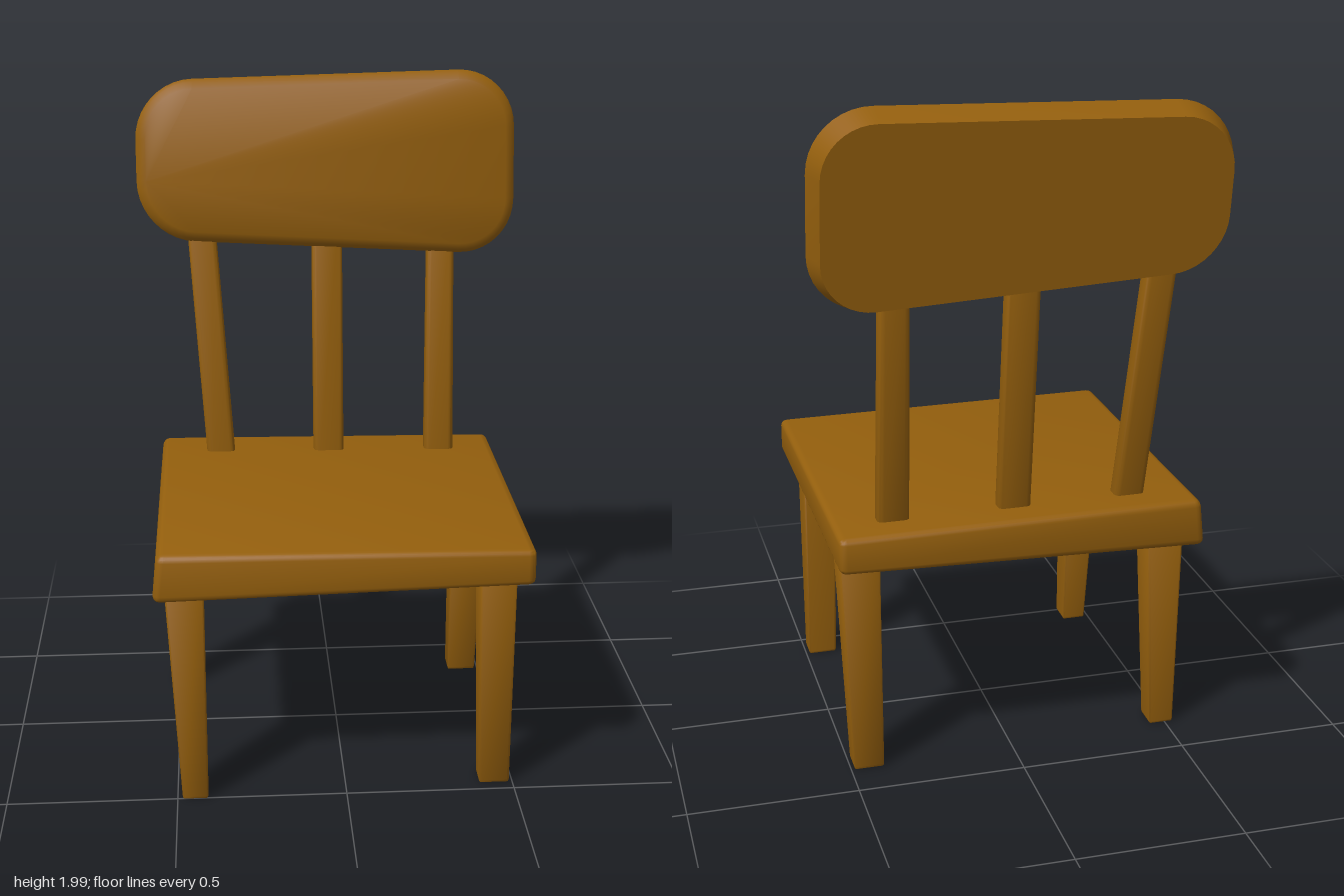
import * as THREE from 'three';
import { toCreasedNormals } from 'three/addons/utils/BufferGeometryUtils.js';
import { RoundedBoxGeometry } from 'three/addons/geometries/RoundedBoxGeometry.js';

const lerp = THREE.MathUtils.lerp;

// Soft-edged block between a low and a high rectangle [x0, x1, z0, z1];
// yLow and yHigh give the heights at the x0 and x1 sides.
function block(low, high, yLow, yHigh, bevel) {
  const w = high[1] - high[0], d = high[3] - high[2], h = yHigh[0] - yLow[0];
  const geo = new RoundedBoxGeometry(w, h, d, 2, bevel);
  const p = geo.attributes.position;
  for (let i = 0; i < p.count; i++) {
    const u = p.getX(i) / w + 0.5, v = p.getY(i) / h + 0.5, t = p.getZ(i) / d + 0.5;
    const r = low.map((a, k) => lerp(a, high[k], v));
    p.setXYZ(i, lerp(r[0], r[1], u),
      lerp(lerp(yLow[0], yLow[1], u), lerp(yHigh[0], yHigh[1], u), v),
      lerp(r[2], r[3], t));
  }
  return toCreasedNormals(geo, 0.7);
}

// Rounded outline of the crooked backrest, anticlockwise from the front
function outline(inset, radius) {
  const c = [[-0.6, 1.485], [0.595, 1.42], [0.595, 2.003], [-0.6, 1.973]].map(([x, y]) =>
    new THREE.Vector2(x - Math.sign(x) * inset, y + (y < 1.7 ? inset : -inset)));
  const pts = [];
  c.forEach((corner, i) => {
    const toward = (other, dist) =>
      other.clone().sub(corner).setLength(dist).add(corner);
    const prev = c[(i + 3) % 4], next = c[(i + 1) % 4];
    const curve = new THREE.CubicBezierCurve(toward(prev, radius), toward(prev, radius * 0.45),
      toward(next, radius * 0.45), toward(next, radius));
    pts.push(...curve.getPoints(10));
  });
  return pts;
}

// Leaning board lofted through outlines at increasing depth
function board() {
  const rings = [[0, 0.03], [0.012, 0.01], [0.028, 0], [0.103, 0.025]].map(([depth, inset]) =>
    outline(inset, 0.18 - inset).map(({ x, y }) =>
      [x, y - depth * 0.134, -0.375 - 0.135 * (y - 1.43) - depth * 0.99]));
  const n = rings[0].length, pos = rings.flat(2), index = [];
  for (let r = 0; r < rings.length - 1; r++) {
    for (let i = 0; i < n; i++) {
      const j = (i + 1) % n, a = r * n, b = a + n;
      index.push(a + i, b + i, b + j, a + i, b + j, a + j);
    }
  }
  // flat front and back faces
  const last = (rings.length - 1) * n;
  for (let i = 1; i < n - 1; i++) {
    index.push(0, i, i + 1, last, last + i + 1, last + i);
  }
  const geo = new THREE.BufferGeometry();
  geo.setAttribute('position', new THREE.Float32BufferAttribute(pos, 3));
  geo.setIndex(index);
  return toCreasedNormals(geo, 0.6);
}

export function createModel() {
  const chair = new THREE.Group();
  chair.name = 'chair';
  const wood = new THREE.MeshStandardMaterial({ color: 0x945f0d });
  wood.name = 'warm brown wood';
  const add = (name, geo) => {
    const mesh = new THREE.Mesh(geo, wood);
    mesh.name = name;
    chair.add(mesh);
  };

  // Seat, thicker on its right side
  add('seat', block([-0.555, 0.535, -0.485, 0.56], [-0.54, 0.535, -0.485, 0.56],
    [0.65, 0.678], [0.796, 0.785], 0.022));

  // Legs, each tapering in its own way: foot rectangle, then top rectangle
  const legs = {
    frontRightLeg: [[-0.485, -0.41, 0.42, 0.505], [-0.525, -0.41, 0.39, 0.505]],
    frontLeftLeg: [[0.4, 0.49, 0.39, 0.465], [0.383, 0.49, 0.39, 0.508]],
    backRightLeg: [[-0.525, -0.45, -0.35, -0.27], [-0.525, -0.41, -0.385, -0.27]],
    backLeftLeg: [[0.4, 0.49, -0.385, -0.305], [0.4, 0.52, -0.385, -0.27]],
  };
  for (const [name, [foot, top]] of Object.entries(legs)) {
    add(name, block(foot, top, [0, 0], [0.72, 0.72], 0.008));
  }

  // Slats between seat and backrest: x range at the seat and at the backrest
  const slats = {
    rightSlat: [[-0.393, -0.303], [-0.447, -0.357]],
    middleSlat: [[-0.05, 0.047], [-0.05, 0.047]],
    leftSlat: [[0.31, 0.405], [0.32, 0.405]],
  };
  for (const [name, [low, high]] of Object.entries(slats)) {
    add(name, block([...low, -0.378, -0.318], [...high, -0.475, -0.415],
      [0.74, 0.74], [1.54, 1.54], 0.016));
  }

  add('backrest', board());
  return chair;
}
